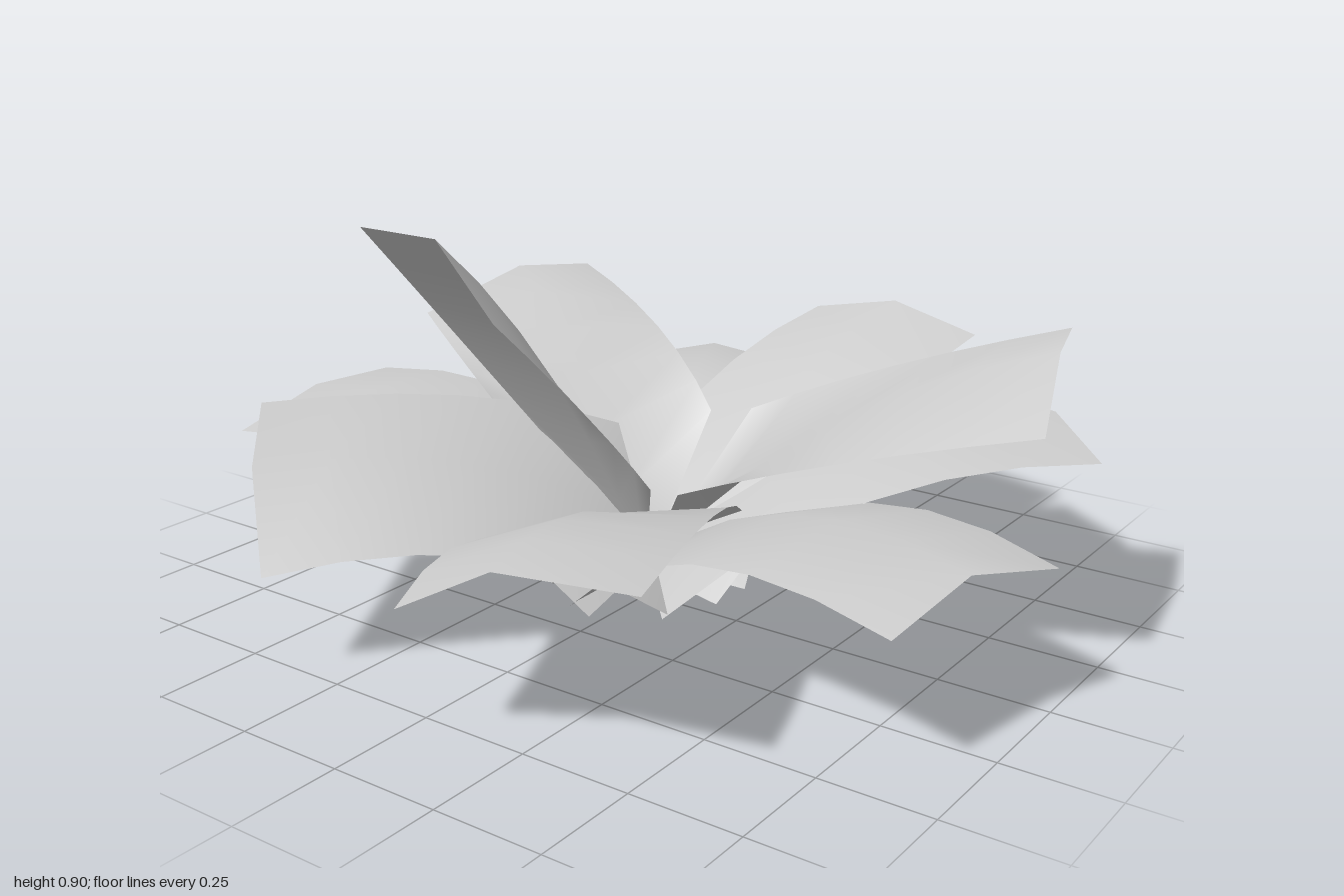
import * as THREE from 'three';

const V = (x, y, z) => new THREE.Vector3(x, y, z);
const material = new THREE.MeshStandardMaterial({ color: 0xcccccc, side: THREE.DoubleSide });

// Each leaf: three points of its outer edge (left, middle, right seen from the
// centre), base = heights of the inner edge in the same order, arch = height of
// the bend, cup = how far the inner corners reach outward.
const leaves = [
  { name: 'frontUprightLeaf', tip: [[0.08, 0.79, 0.605], [-0.17, 0.905, 0.49], [-0.4, 0.9, 0.47]], base: [0.36, 0.07, 0.38], arch: 0.62, cup: 0.15 },
  { name: 'frontLowLeaf', tip: [[0.56, 0.42, 0.79], [0.27, 0.415, 0.85], [0.06, 0.3, 0.885]], base: [0.24, 0.13, 0], arch: 0.44 },
  { name: 'frontRightLowLeaf', tip: [[-0.38, 0.23, 0.82], [-0.56, 0.39, 0.67], [-0.7, 0.47, 0.51]], base: [0.05, 0.18, 0.35], arch: 0.43 },
  { name: 'rightLowLeaf', tip: [[-1, 0.295, 0.32], [-0.985, 0.36, 0.08], [-0.96, 0.355, -0.15]], base: [0.03, 0.08, 0.06], arch: 0.44 },
  { name: 'backRightUpperLeaf', tip: [[-0.88, 0.5, -0.23], [-0.76, 0.6, -0.47], [-0.67, 0.585, -0.65]], base: [0.35, 0.07, 0.38], arch: 0.53, cup: 0.15 },
  { name: 'backRightLowLeaf', tip: [[-0.59, 0.31, -0.77], [-0.36, 0.37, -0.82], [-0.09, 0.325, -0.89]], base: [0.03, 0.08, 0.03], arch: 0.44 },
  { name: 'backMiddleLeaf', tip: [[-0.06, 0.51, -0.865], [0.2, 0.575, -0.8], [0.44, 0.53, -0.765]], base: [0.05, 0.06, 0.05], arch: 0.45 },
  { name: 'backLeftLowLeaf', tip: [[0.51, 0.375, -0.815], [0.71, 0.415, -0.64], [0.885, 0.365, -0.49]], base: [0.04, 0.08, 0.04], arch: 0.44 },
  { name: 'leftUpperLeaf', tip: [[0.82, 0.68, -0.42], [0.885, 0.685, -0.2], [0.955, 0.575, 0.02]], base: [0.41, 0.07, 0.35], arch: 0.55, cup: 0.17 },
  { name: 'leftLowLeaf', tip: [[1, 0.315, 0.01], [0.92, 0.36, 0.24], [0.88, 0.305, 0.475]], base: [0.05, 0.08, 0.04], arch: 0.44 },
];

// A leaf is three arched ribs joined into a curved strip.
function makeLeaf({ name, tip, base, arch, cup = 0.01 }) {
  const rows = 6;
  const tips = tip.map((p) => V(...p));
  const middle = tips[1];
  const outward = V(middle.x, 0, middle.z).normalize();
  const across = outward.clone().cross(V(0, 1, 0));

  const ribs = tips.map((end, i) => {
    const side = i - 1;
    const start = V(0, base[i], 0)
      .addScaledVector(outward, Math.abs(side) * cup)
      .addScaledVector(across, side * 0.23);
    const bend = start.clone().lerp(end, 0.42).addScaledVector(across, side * 0.045);
    bend.y = arch + (end.y - middle.y) * 0.6;
    return new THREE.QuadraticBezierCurve3(start, bend, end).getPoints(rows);
  });

  const positions = [];
  const index = [];
  for (let r = 0; r <= rows; r++) {
    for (const rib of ribs) positions.push(...rib[r].toArray());
    if (r === rows) continue;
    for (let c = 0; c < 2; c++) {
      const a = r * 3 + c;
      index.push(a, a + 1, a + 3, a + 1, a + 4, a + 3);
    }
  }
  const geometry = new THREE.BufferGeometry();
  geometry.setAttribute('position', new THREE.Float32BufferAttribute(positions, 3));
  geometry.setIndex(index);
  geometry.computeVertexNormals();
  const mesh = new THREE.Mesh(geometry, material);
  mesh.name = name;
  return mesh;
}

export function createModel() {
  const group = new THREE.Group();
  group.name = 'leafRosette';
  for (const leaf of leaves) group.add(makeLeaf(leaf));
  return group;
}
